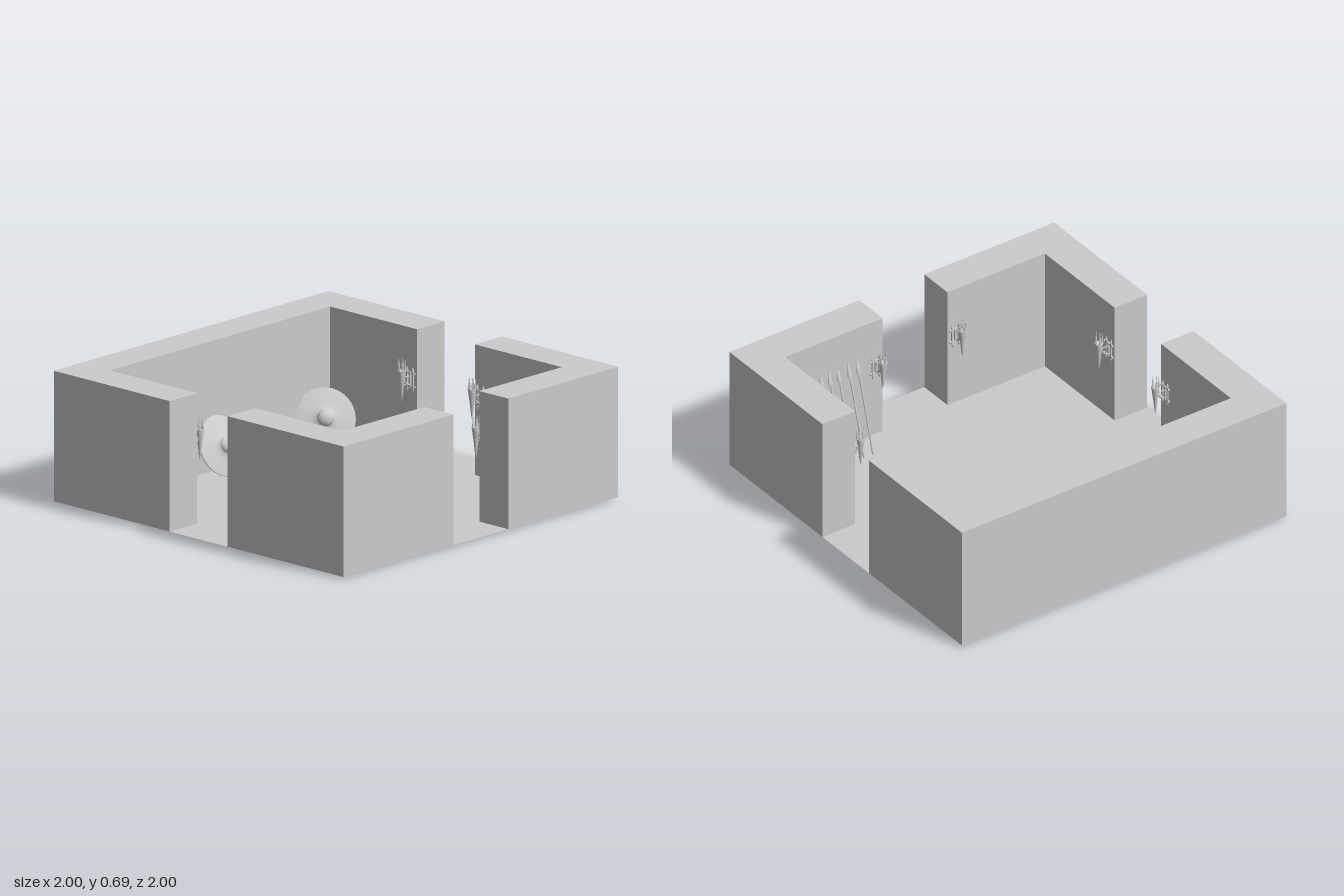
import * as THREE from 'three';

const FLOOR = 0.01, WALL_H = 0.68;
const mat = new THREE.MeshStandardMaterial({ color: 0xcccccc, side: THREE.DoubleSide });

function add(parent, geometry, name, x = 0, y = 0, z = 0) {
  const mesh = new THREE.Mesh(geometry, mat);
  mesh.name = name;
  mesh.position.set(x, y, z);
  parent.add(mesh);
  return mesh;
}

// Plan outlines are [x, -z], counter-clockwise
const plan = (points) => new THREE.Shape(points.map(([x, y]) => new THREE.Vector2(x, y)));

// Upright wall with top and sides; the underside is left open
function wallGeometry(points) {
  const solid = new THREE.ExtrudeGeometry(plan(points), { depth: WALL_H, bevelEnabled: false });
  solid.rotateX(-Math.PI / 2);
  const skip = (points.length - 2) * 9;
  const open = new THREE.BufferGeometry();
  open.setAttribute('position', new THREE.BufferAttribute(solid.attributes.position.array.slice(skip), 3));
  open.computeVertexNormals();
  return open;
}

// Round shield: shallow cone with a domed boss, leaning back by tilt
function shield(x, z, yaw, tilt) {
  const group = new THREE.Group();
  group.name = 'shield';
  const profile = [[0, 0.01], [0.157, -0.006], [0.159, -0.002], [0.157, 0.002], [0.11, 0.009], [0.07, 0.016],
    [0.044, 0.022], [0.042, 0.034], [0.034, 0.045], [0.02, 0.053], [0, 0.056]];
  const disc = add(group, new THREE.LatheGeometry(profile.map(([r, h]) => new THREE.Vector2(r, h)), 40), 'shieldDisc');
  disc.rotation.x = Math.PI / 2 - tilt;
  group.position.set(x, 0.155, z);
  group.rotation.y = yaw;
  return group;
}

// Spear standing on the floor with its tip against the front wall
function spear(x) {
  const group = new THREE.Group();
  group.name = 'spear';
  const length = 0.53;
  add(group, new THREE.CylinderGeometry(0.005, 0.005, 0.44, 8), 'spearShaft', 0, 0.22, 0);
  const head = [[0.005, 0.42], [0.008, 0.43], [0.006, 0.44], [0.015, 0.455], [0.009, 0.495], [0, length]];
  add(group, new THREE.LatheGeometry(head.map(([r, h]) => new THREE.Vector2(r, h)), 8), 'spearHead').scale.z = 0.5;
  group.position.set(x, 0.001, 0.655);
  group.rotation.x = Math.asin(0.145 / length);
  return group;
}

// Wall torch holder; local +z points away from the wall at z = 0
function torchHolder(x, z, yaw) {
  const group = new THREE.Group();
  group.name = 'torchHolder';
  const out = 0.066;

  // Wall bracket: two uprights, crossbars and pointed finials
  for (const s of [-1, 1]) {
    add(group, new THREE.BoxGeometry(0.007, 0.1, 0.008), 'bracketUpright', s * 0.02, 0.42, 0.005);
    add(group, new THREE.BoxGeometry(0.07, 0.007, 0.008), 'bracketBar', 0, 0.42 + s * 0.035, 0.005);
    for (const t of [-1, 1]) {
      const tip = add(group, new THREE.ConeGeometry(0.007, 0.022, 6), 'bracketFinial', s * 0.02, 0.42 + t * 0.06, 0.006);
      if (t < 0) tip.rotation.x = Math.PI;
      add(group, new THREE.SphereGeometry(0.006, 8, 6), 'bracketStud', s * 0.034, 0.42 + t * 0.035, 0.008);
    }
  }
  add(group, new THREE.BoxGeometry(0.012, 0.08, 0.01), 'bracketSpine', 0, 0.42, 0.006);

  // Arm, curving up from the bracket to the cup
  const curve = new THREE.QuadraticBezierCurve3(new THREE.Vector3(0, 0.395, 0.008),
    new THREE.Vector3(0, 0.395, 0.04), new THREE.Vector3(0, 0.44, out - 0.015));
  add(group, new THREE.TubeGeometry(curve, 8, 0.005, 6), 'arm');
  add(group, new THREE.CylinderGeometry(0.004, 0.004, 0.045, 6), 'armBrace', 0, 0.44, 0.03).rotation.x = Math.PI / 2;

  // Tapering cup with a rim band
  const cup = [[0, 0.318], [0.006, 0.35], [0.011, 0.4], [0.018, 0.45], [0.021, 0.48], [0.017, 0.482], [0, 0.475]];
  add(group, new THREE.LatheGeometry(cup.map(([r, h]) => new THREE.Vector2(r, h)), 16), 'cup', 0, 0, out);
  const rim = add(group, new THREE.TorusGeometry(0.02, 0.0035, 6, 18), 'cupRim', 0, 0.478, out);
  rim.rotation.x = Math.PI / 2;

  // Upright prongs around the rim
  for (let i = 0; i < 5; i++) {
    const a = (i / 5) * Math.PI * 2;
    add(group, new THREE.ConeGeometry(0.006, 0.068, 5), 'prong', Math.sin(a) * 0.017, 0.511, out + Math.cos(a) * 0.017);
  }
  group.position.set(x, 0, z);
  group.rotation.y = yaw;
  return group;
}

export function createModel() {
  const model = new THREE.Group();
  model.name = 'guardRoom';
  const o = 1, i = 0.8, d = 0.2;

  // Floor running out through the three doorways
  const floor = new THREE.ShapeGeometry(plan([[-d, -o], [d, -o], [d, -i], [i, -i], [i, -d], [o, -d], [o, d], [i, d],
    [i, i], [-i, i], [-i, d], [-o, d], [-o, -d], [-i, -d], [-i, -i], [-d, -i]]));
  floor.rotateX(-Math.PI / 2);
  add(model, floor, 'floor', 0, FLOOR, 0);

  // Back wall with both side returns, and two front corners
  add(model, wallGeometry([[o, d], [o, o], [-o, o], [-o, d], [-i, d], [-i, i], [i, i], [i, d]]), 'backWall', 0, FLOOR, 0);
  add(model, wallGeometry([[d, -o], [o, -o], [o, -d], [i, -d], [i, -i], [d, -i]]), 'frontWallLeft', 0, FLOOR, 0);
  add(model, wallGeometry([[-d, -o], [-d, -i], [-i, -i], [-i, -d], [-o, -d], [-o, -o]]), 'frontWallRight', 0, FLOOR, 0);

  // Shields leaning on the walls
  model.add(shield(-0.05, -0.735, 0, 0.42));
  model.add(shield(-0.75, -0.52, 1.5, 0.34));
  model.add(shield(0.66, -0.705, -0.62, 0.42));

  // Row of spears
  for (const x of [0.36, 0.415, 0.48, 0.535, 0.585, 0.645, 0.71]) model.add(spear(x));

  // Torch holders beside every doorway
  for (const s of [-1, 1]) {
    model.add(torchHolder(s * 0.245, i, Math.PI));
    for (const t of [-1, 1]) model.add(torchHolder(s * i, t * 0.243, -s * Math.PI / 2));
  }
  return model;
}
